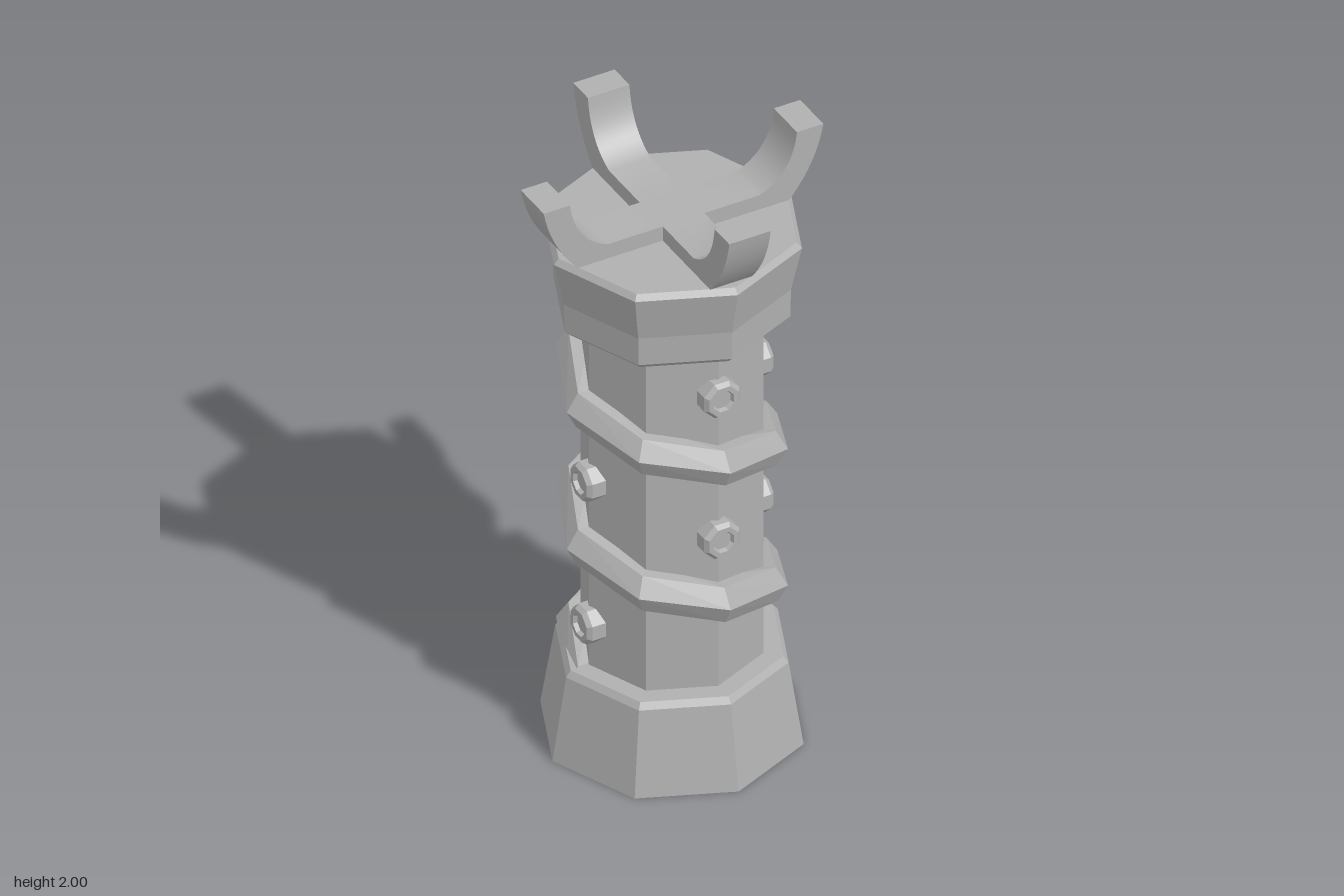
import * as THREE from 'three';
import { toCreasedNormals } from 'three/addons/utils/BufferGeometryUtils.js';

const stone = new THREE.MeshStandardMaterial({ color: 0xb0b0b0 });
stone.name = 'grey stone';

// Faceted normals for the low-poly parts
function flat(geometry) {
  const g = geometry.index ? geometry.toNonIndexed() : geometry;
  g.computeVertexNormals();
  return g;
}

function part(name, geometry, parent) {
  const mesh = new THREE.Mesh(geometry, stone);
  mesh.name = name;
  parent.add(mesh);
  return mesh;
}

// Eight-sided turned form from [radius, height] pairs
function octagon(points, turn = 0) {
  return flat(new THREE.LatheGeometry(points.map(([r, y]) => new THREE.Vector2(r, y)), 8, turn));
}

// Hexagonal band winding down the shaft, one section at every corner
function spiralBand() {
  const sides = 6, steps = 22, radius = 0.28, size = 0.068, pitch = 0.483;
  const position = [], index = [];
  for (let i = 0; i <= steps; i++) {
    const a = (i * Math.PI) / 4;
    for (let j = 0; j < sides; j++) {
      const b = (j / sides) * Math.PI * 2 + 0.05;
      const r = radius + size * Math.cos(b);
      position.push(r * Math.sin(a), 1.574 - (i * pitch) / 8 + size * Math.sin(b), r * Math.cos(a));
      if (i < steps) {
        const p = i * sides + j, q = i * sides + ((j + 1) % sides);
        index.push(p, p + sides, q, q, p + sides, q + sides);
      }
    }
  }
  const g = new THREE.BufferGeometry();
  g.setAttribute('position', new THREE.Float32BufferAttribute(position, 3));
  g.setIndex(index);
  return flat(g);
}

// Curved prong: flat foot on the head sweeping up to the tip
function prongGeometry(width) {
  const s = new THREE.Shape();
  s.moveTo(width / 2, 1.765);
  s.lineTo(0.345, 1.765);
  s.quadraticCurveTo(0.44, 1.87, 0.462, 2);
  s.lineTo(0.375, 2);
  s.quadraticCurveTo(0.36, 1.86, 0.25, 1.82);
  s.lineTo(width / 2, 1.82);
  const g = new THREE.ExtrudeGeometry(s, { depth: width, bevelEnabled: false, curveSegments: 10 });
  g.translate(0, 0, -width / 2);
  return toCreasedNormals(g, 0.5);
}

export function createModel() {
  const model = new THREE.Group();
  model.name = 'pillar';

  part('base', octagon([[0, 0], [0.395, 0], [0.35, 0.28], [0.335, 0.3], [0, 0.3]]), model);
  part('shaft', octagon([[0.275, 0.25], [0.275, 1.55]]), model);
  part('head', octagon([
    [0, 1.485], [0.335, 1.485], [0.355, 1.505], [0.357, 1.6],
    [0.39, 1.752], [0.375, 1.77], [0, 1.77],
  ]), model);
  part('spiralBand', spiralBand(), model);

  // Bolts: pairs on each side, stepping down around the shaft
  const bolt = octagon([
    [0.063, 0.25], [0.063, 0.295], [0.052, 0.309], [0.036, 0.309], [0.031, 0.296], [0, 0.296],
  ], Math.PI / 8).rotateX(Math.PI / 2);
  const heights = [[1.325, 0.827], [1.2, 0.716], [1.077, 0.584], [0.953, 0.45]];
  heights.forEach((pair, side) => pair.forEach((y) => {
    const mesh = part('bolt', bolt, model);
    mesh.position.y = y;
    mesh.rotation.y = (side * Math.PI) / 2;
  }));

  // Four-pronged holder
  const holder = new THREE.Group();
  holder.name = 'holder';
  model.add(holder);
  const width = 0.137;
  part('holderCentre', new THREE.BoxGeometry(width, 0.055, width), holder).position.y = 1.7925;
  const prong = prongGeometry(width);
  for (let i = 0; i < 4; i++) part('prong', prong, holder).rotation.y = (i * Math.PI) / 2;

  return model;
}
